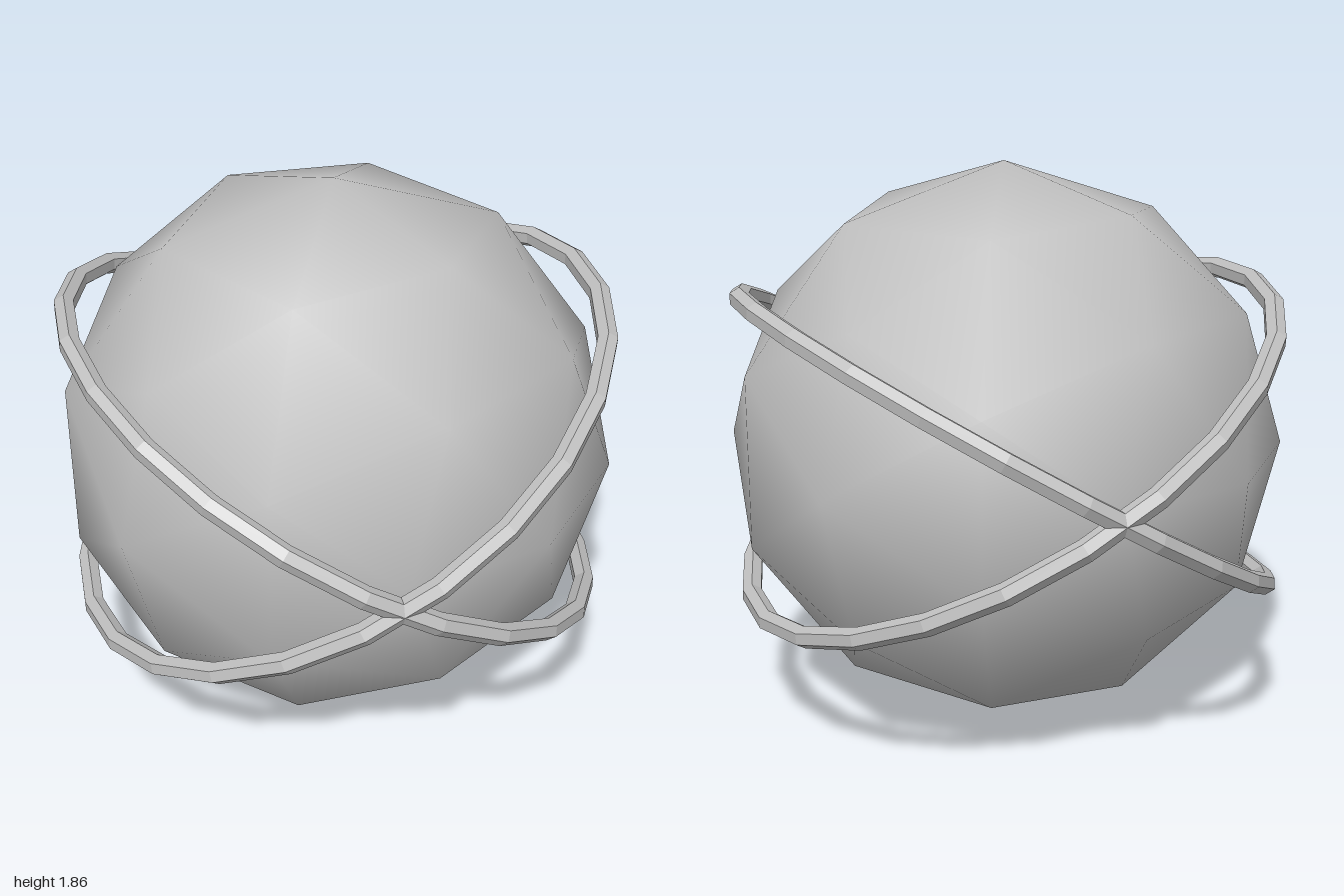
import * as THREE from 'three';

const CENTER_Y = 0.93;
const SPHERE_RADIUS = 0.93;
const RING_RADIUS = 1.004;
const TUBE_RADIUS = 0.036;
const SEGMENTS = 24;
const TILT = THREE.MathUtils.degToRad(30.6);
const HEADING = THREE.MathUtils.degToRad(34.2);

export function createModel() {
  const model = new THREE.Group();
  model.name = 'ringedSphere';

  const gray = new THREE.MeshStandardMaterial({ color: 0xc0c0c0 });
  gray.name = 'gray';
  const ringGray = new THREE.MeshStandardMaterial({ color: 0xc0c0c0, flatShading: true });
  ringGray.name = 'ring gray';

  // Coarse sphere with smooth normals
  const core = new THREE.Mesh(new THREE.IcosahedronGeometry(SPHERE_RADIUS, 1), gray);
  core.name = 'core';
  core.position.y = CENTER_Y;
  model.add(core);

  // Two six-sided rings, tilted opposite ways about a shared horizontal axis
  for (const [name, side] of [['risingRing', 1], ['fallingRing', -1]]) {
    const geometry = new THREE.TorusGeometry(RING_RADIUS, TUBE_RADIUS, 6, SEGMENTS);
    geometry.rotateZ(Math.PI / SEGMENTS); // flat segments face the crossings
    geometry.rotateX(-Math.PI / 2 + side * TILT);
    geometry.rotateY(-HEADING);
    const ring = new THREE.Mesh(geometry, ringGray);
    ring.name = name;
    ring.position.y = CENTER_Y;
    model.add(ring);
  }

  return model;
}
